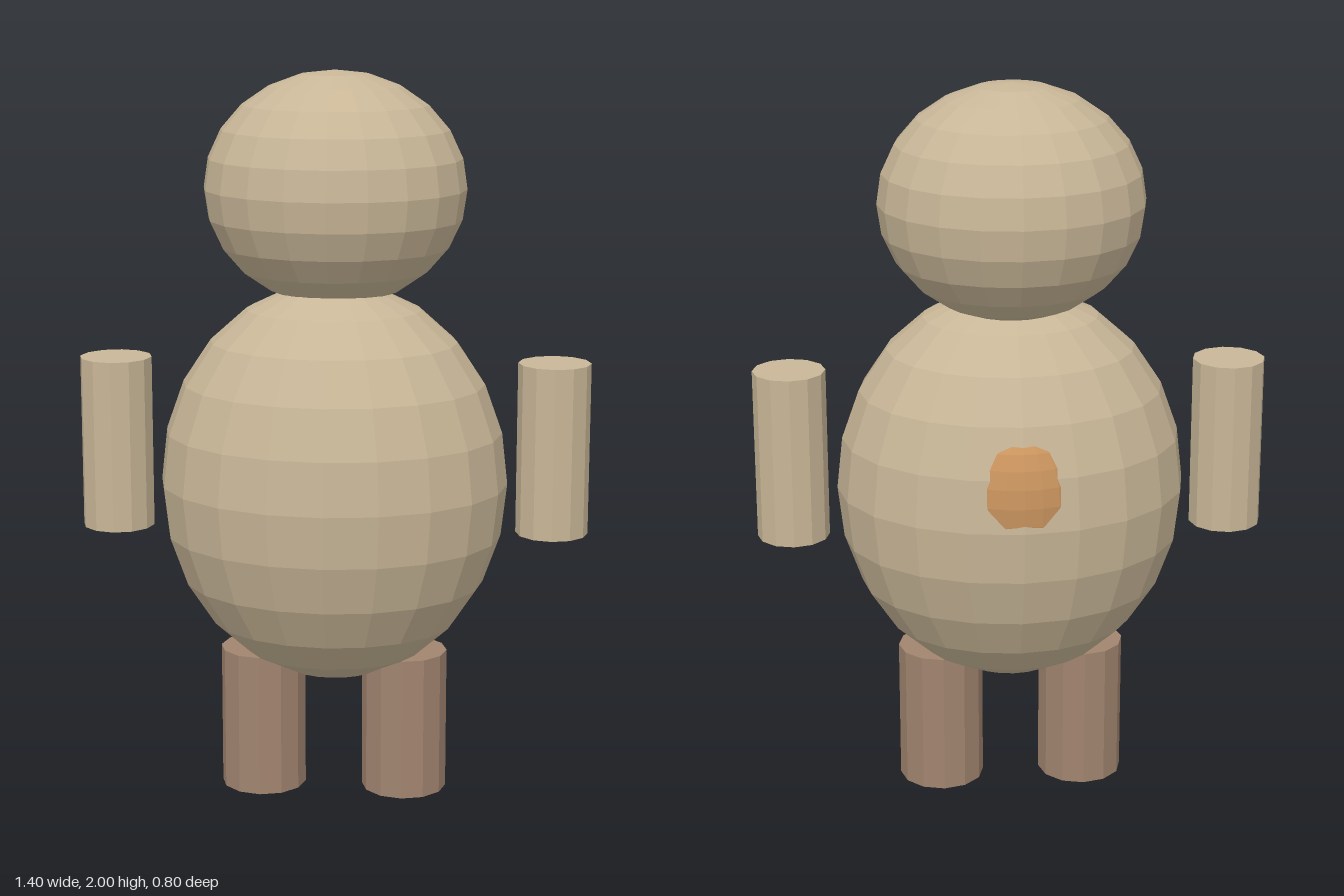
import * as THREE from 'three';

export function createModel() {
  const model = new THREE.Group();
  model.name = 'figure';

  const material = (name, color) => {
    const m = new THREE.MeshStandardMaterial({ color, flatShading: true });
    m.name = name;
    return m;
  };
  const fur = material('beige fur', 0xc8b697);
  const legBrown = material('leg brown', 0xa1846f);
  const orange = material('orange patch', 0xcb955f);

  const add = (name, geometry, mat, x, y, z) => {
    const mesh = new THREE.Mesh(geometry, mat);
    mesh.name = name;
    mesh.position.set(x, y, z);
    model.add(mesh);
  };
  // faceted ellipsoid with the given radii
  const ellipsoid = (rx, ry, rz) => new THREE.SphereGeometry(1, 20, 12).scale(rx, ry, rz);

  // egg-shaped body and round head
  add('body', ellipsoid(0.477, 0.555, 0.4), fur, 0, 0.88, 0);
  add('head', ellipsoid(0.357, 0.317, 0.319), fur, 0, 1.683, -0.042);

  // low bump on the back, mostly sunk into the body
  add('backPatch', ellipsoid(0.16, 0.2, 0.1), orange, 0, 0.95, -0.301);

  // limbs, mirrored left and right
  for (const [side, s] of [['left', 1], ['right', -1]]) {
    add(side + 'Arm', new THREE.CylinderGeometry(0.099, 0.099, 0.475, 12), fur, s * 0.6, 0.983, 0);
    add(side + 'Leg', new THREE.CylinderGeometry(0.118, 0.118, 0.4, 12), legBrown, s * 0.198, 0.2, 0);
  }
  return model;
}
